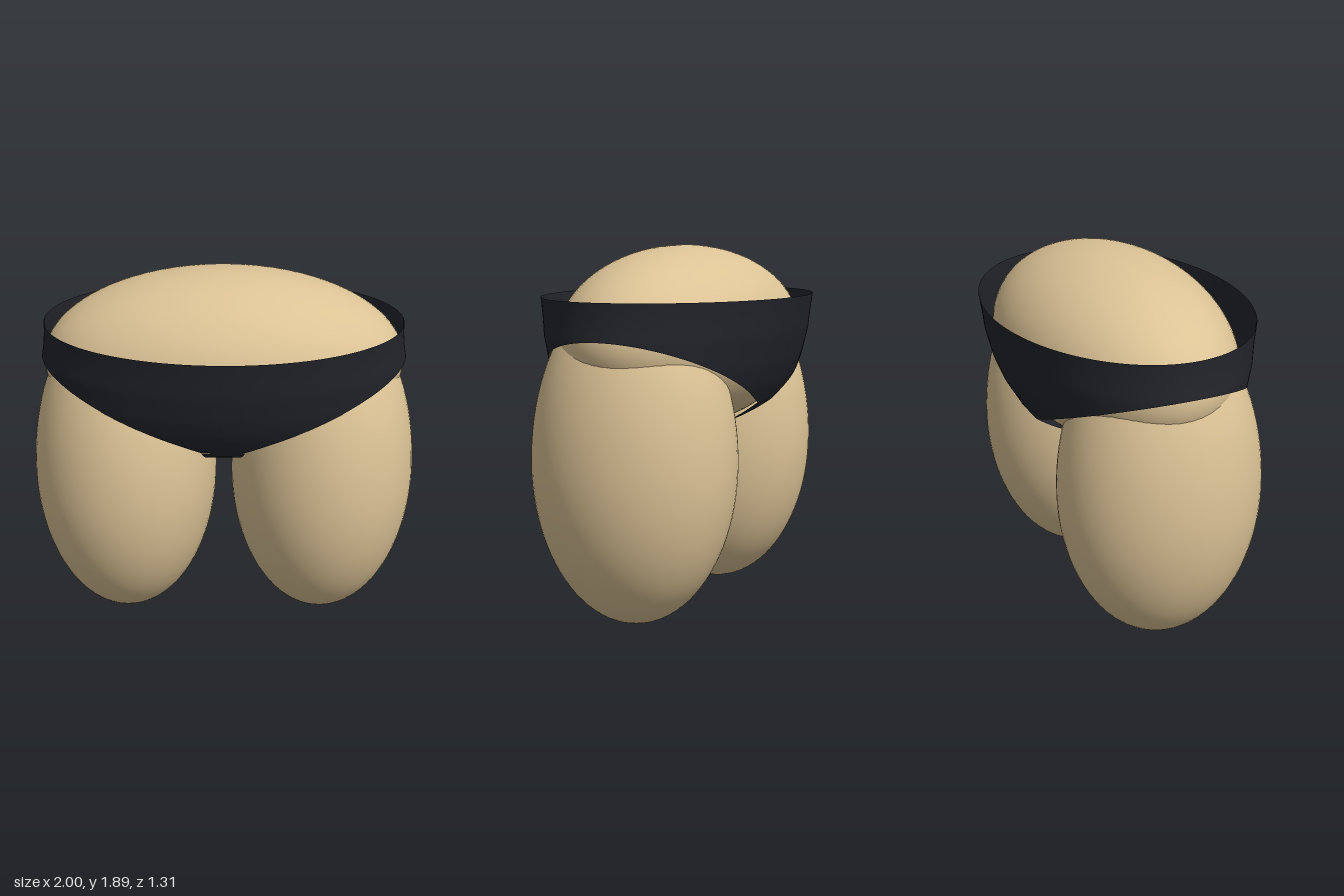
import * as THREE from 'three';

const skin = new THREE.MeshStandardMaterial({ color: 0xdcc396 });
const cloth = new THREE.MeshStandardMaterial({ color: 0x22242a, side: THREE.DoubleSide });

// Ellipsoid whose upper half may be taller than its lower half
function ellipsoid(name, [x, y, z], [rx, ryDown, rz], ryUp = ryDown) {
  const geo = new THREE.SphereGeometry(1, 64, 48);
  const p = geo.attributes.position;
  for (let i = 0; i < p.count; i++) {
    const py = p.getY(i);
    p.setXYZ(i, p.getX(i) * rx, py * (py > 0 ? ryUp : ryDown), p.getZ(i) * rz);
  }
  geo.computeVertexNormals();
  const mesh = new THREE.Mesh(geo, skin);
  mesh.name = name;
  mesh.position.set(x, y, z);
  return mesh;
}

// Sheet from a function (u, v in 0..1) returning [x, y, z]
function sheet(name, nu, nv, fn) {
  const geo = new THREE.PlaneGeometry(1, 1, nu, nv);
  const p = geo.attributes.position;
  for (let i = 0; i < p.count; i++) {
    p.setXYZ(i, ...fn(p.getX(i) + 0.5, 0.5 - p.getY(i)));
  }
  geo.computeVertexNormals();
  const mesh = new THREE.Mesh(geo, cloth);
  mesh.name = name;
  return mesh;
}

// Depth of the cloth at the centre line: [height, half depth]
const depthProfile = [[1.08, 0.465], [1.1, 0.48], [1.2, 0.54], [1.3, 0.583], [1.45, 0.625], [1.55, 0.64], [1.635, 0.655]];
function depthAt(y) {
  let i = 1;
  while (i < depthProfile.length - 1 && y > depthProfile[i][0]) i++;
  const [y0, d0] = depthProfile[i - 1], [y1, d1] = depthProfile[i];
  return d0 + (d1 - d0) * (y - y0) / (y1 - y0);
}

export function createModel() {
  const model = new THREE.Group();
  model.name = 'lowerBodyForm';

  // Body
  model.add(ellipsoid('torso', [0, 1.42, -0.015], [0.928, 0.47, 0.555]));
  for (const s of [1, -1]) {
    model.add(ellipsoid(s > 0 ? 'leftLeg' : 'rightLeg', [s * 0.52, 0.82, 0.015], [0.48, 0.82, 0.525], 0.9));
  }

  // Briefs: a ring that dips towards the middle at front and back
  const top = 1.635;
  const briefs = new THREE.Group();
  briefs.name = 'briefs';
  briefs.add(sheet('waistPanel', 160, 16, (u, v) => {
    const a = u * Math.PI * 2;
    const sx = Math.sin(a), cz = Math.cos(a);
    const hem = 1.1 + 0.35 * Math.max(0, (Math.abs(sx) * 0.935 - 0.11) / 0.825);
    const y = top + (hem - top) * v;
    const halfWidth = 0.918 + 0.018 * Math.min(1, (top - y) / 0.185) ** 2;
    return [sx * halfWidth, y, cz * depthAt(y)];
  }));

  // Strip passing between the legs, narrowest underneath
  briefs.add(sheet('gusset', 8, 40, (u, v) => {
    const s = 1 - 2 * v;
    const halfWidth = 0.04 + 0.07 * Math.abs(s);
    return [(2 * u - 1) * halfWidth, 0.92 + 0.18 * s * s, 0.48 * s];
  }));
  model.add(briefs);

  return model;
}
